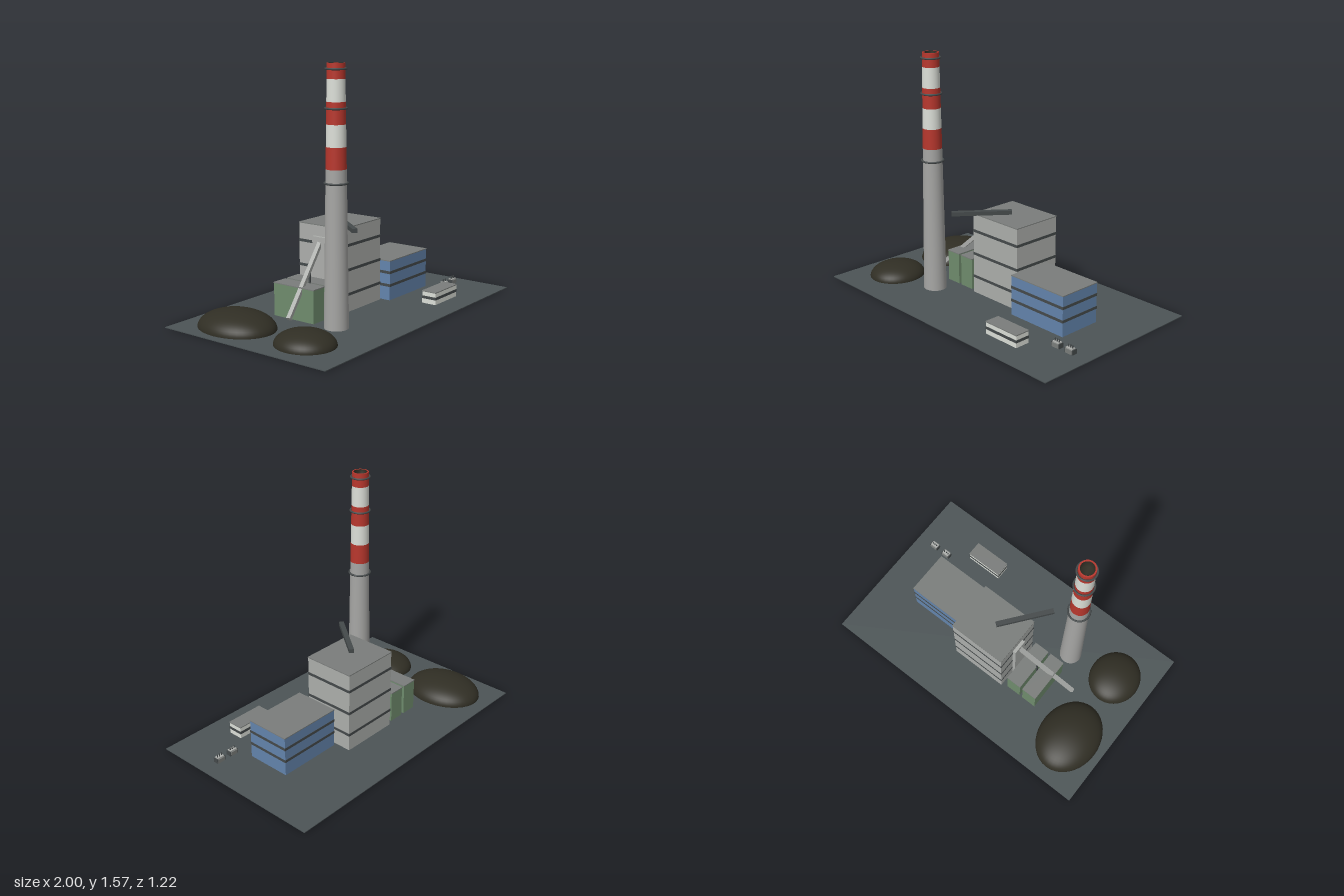
import * as THREE from 'three';

const mat = (name, color) => Object.assign(new THREE.MeshStandardMaterial({ color }), { name });

export function createModel() {
  const M = {
    ground: mat('asphalt', 0x4c5456),
    concrete: mat('concrete', 0xa6a6a4),
    wall: mat('wall grey', 0xacaeab),
    roof: mat('roof grey', 0x7a7d7b),
    dark: mat('dark steel', 0x454a4b),
    red: mat('signal red', 0xb8372d),
    white: mat('white', 0xdcdfd8),
    blue: mat('hall blue', 0x6384ac),
    green: mat('filter green', 0x6f8c6d),
    coal: mat('coal', 0x302e24),
  };
  const model = new THREE.Group();
  model.name = 'powerStation';

  const add = (name, geometry, material, x = 0, y = 0, z = 0, parent = model) => {
    const mesh = new THREE.Mesh(geometry, material);
    mesh.name = name;
    mesh.position.set(x, y, z);
    parent.add(mesh);
    return mesh;
  };
  // Box from a base height, centred on x and z
  const box = (name, material, w, h, d, x, y, z, parent) =>
    add(name, new THREE.BoxGeometry(w, h, d), material, x, y + h / 2, z, parent);
  // Square beam between two points
  const beam = (name, material, a, b, w, h) => {
    const mesh = add(name, new THREE.BoxGeometry(w, h, a.distanceTo(b)), material);
    mesh.position.copy(a).add(b).multiplyScalar(0.5);
    mesh.lookAt(b);
    return mesh;
  };
  const V = (x, y, z) => new THREE.Vector3(x, y, z);
  const G = 0.005;

  box('ground', M.ground, 2, G, 1.215, 0, 0, 0);

  // Buildings: body, overhanging roof slab and window bands
  const building = (name, material, [x0, x1], [z0, z1], top, bands = [], over = 0.004) => {
    const g = new THREE.Group();
    g.name = name;
    model.add(g);
    const w = x1 - x0, d = z1 - z0, x = (x0 + x1) / 2, z = (z0 + z1) / 2;
    box('walls', material, w, top - 0.006 - G, d, x, G, z, g);
    box('roof', M.roof, w + over, 0.006, d + over, x, top - 0.006, z, g);
    for (const y of bands) box('windowBand', M.dark, w + 0.004, 0.018, d + 0.004, x, y - 0.009, z, g);
  };
  building('boilerHouse', M.wall, [-0.158, 0.24], [-0.262, 0.083], 0.549, [0.118, 0.275, 0.432]);
  building('turbineHall', M.blue, [0.26, 0.692], [-0.152, 0.147], 0.27, [0.104, 0.19]);
  building('office', M.white, [0.347, 0.605], [0.342, 0.442], 0.087, [0.045]);
  building('filterHouseLeft', M.green, [-0.302, -0.197], [-0.243, 0.067], 0.217);
  building('filterHouseRight', M.green, [-0.429, -0.324], [-0.243, 0.067], 0.217);

  // Chimney: tapered shaft in coloured sections
  const chimney = new THREE.Group();
  chimney.name = 'chimney';
  chimney.position.set(-0.395, 0, 0.215);
  model.add(chimney);
  const H = 1.57;
  const radius = (y) => 0.075 - 0.022 * (y / H);
  const levels = [G, 0.96, 1.09, 1.22, 1.35, 1.48, H];
  const paints = [M.concrete, M.red, M.white, M.red, M.white, M.red];
  paints.forEach((p, i) => {
    const a = levels[i], b = levels[i + 1];
    add('shaftSection', new THREE.CylinderGeometry(radius(b), radius(a), b - a, 40, 1, true), p,
      0, (a + b) / 2, 0, chimney);
  });
  // Rim and dark flue opening
  const rim = add('rim', new THREE.RingGeometry(0.043, radius(H), 40), M.red, 0, H, 0, chimney);
  rim.rotation.x = -Math.PI / 2;
  const flue = [[0.001, -0.08], [0.043, -0.08], [0.043, 0]].map(([r, y]) => new THREE.Vector2(r, y));
  const inside = M.coal;
  inside.side = THREE.DoubleSide;
  add('flueOpening', new THREE.LatheGeometry(flue, 40), inside, 0, H, 0, chimney);
  // Service rings
  for (const y of [0.878, 1.312, 1.537]) {
    const ring = add('serviceRing', new THREE.TorusGeometry(radius(y) + 0.006, 0.0065, 8, 40), M.dark, 0, y, 0, chimney);
    ring.rotation.x = Math.PI / 2;
  }

  // Flue duct over the boiler house roof
  beam('flueDuct', M.dark, V(0.021, 0.562, -0.085), V(-0.216, 0.562, 0.217), 0.032, 0.026);

  // Coal conveyor, its support and the transfer tower
  beam('conveyor', M.wall, V(-0.572, 0.06, -0.006), V(-0.165, 0.44, -0.088), 0.026, 0.026);
  box('transferTower', M.wall, 0.022, 0.475 - G, 0.1, -0.17, G, -0.09);
  box('conveyorSupport', M.dark, 0.01, 0.295, 0.01, -0.306, G, -0.06);

  // Coal heaps
  const heap = (name, x, z, rx, ry, rz) =>
    add(name, new THREE.SphereGeometry(1, 40, 14, 0, Math.PI * 2, 0, Math.PI / 2), M.coal, x, G, z).scale.set(rx, ry, rz);
  heap('coalHeapBack', -0.742, -0.263, 0.208, 0.11, 0.26);
  heap('coalHeapFront', -0.742, 0.26, 0.174, 0.09, 0.19);

  // Transformers with cooling fins and insulators
  for (const x of [0.755, 0.86]) {
    const t = new THREE.Group();
    t.name = 'transformer';
    t.position.set(x, G, 0.257);
    model.add(t);
    box('tank', M.wall, 0.05, 0.036, 0.03, 0, 0, 0, t);
    for (const s of [-1, 1]) {
      box('coolingFin', M.dark, 0.006, 0.03, 0.036, s * 0.029, 0.002, 0, t);
      box('radiator', M.roof, 0.05, 0.026, 0.006, 0, 0.003, s * 0.018, t);
    }
    for (const i of [-1, 0, 1])
      add('insulator', new THREE.CylinderGeometry(0.003, 0.004, 0.018, 8), M.dark, i * 0.016, 0.045, 0, t);
  }
  return model;
}
